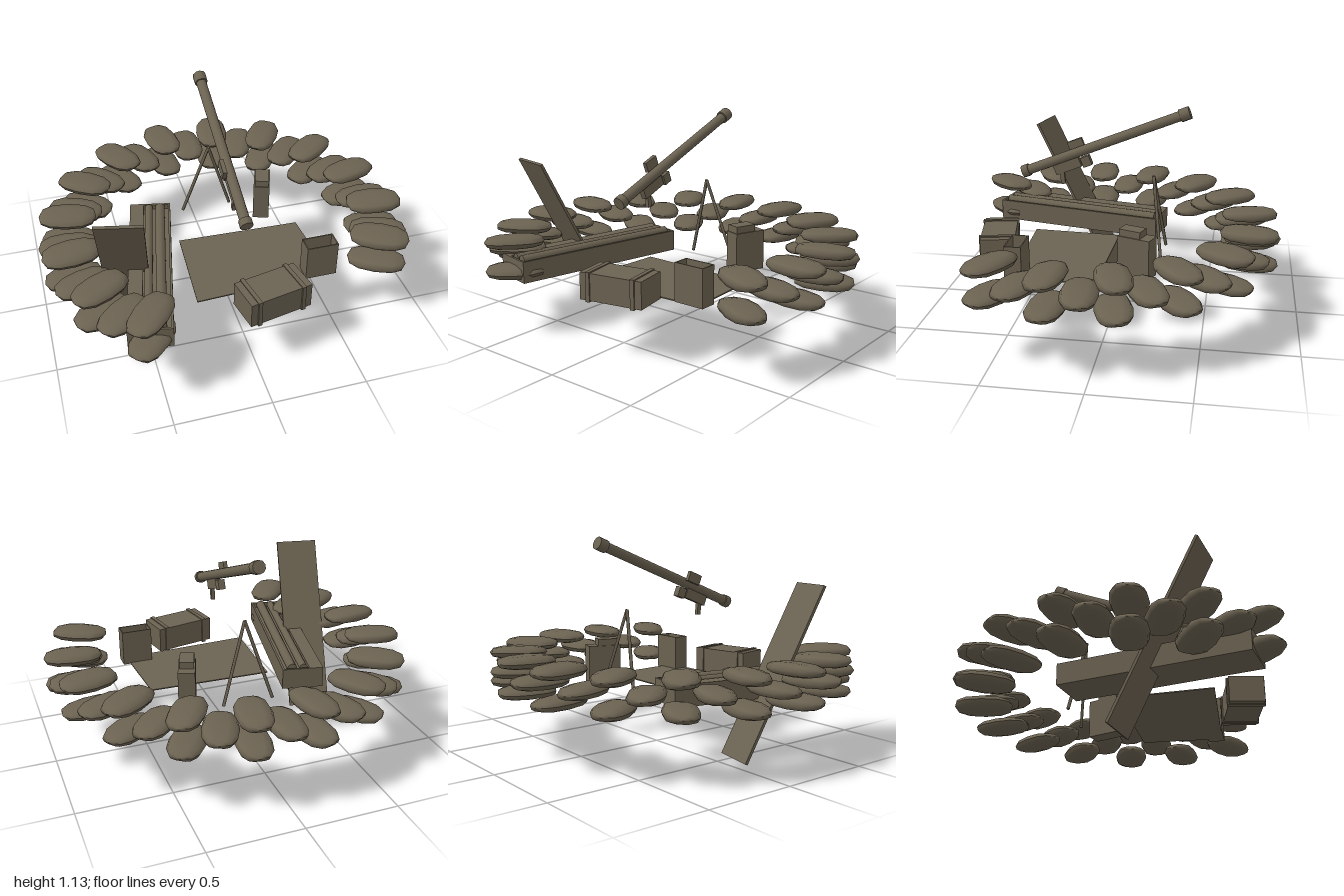
import * as THREE from 'three';

const olive = new THREE.MeshStandardMaterial({ color: 0x6b6251 });
olive.name = 'drab olive';

function add(parent, name, geometry, x = 0, y = 0, z = 0) {
  const m = new THREE.Mesh(geometry, olive);
  m.name = name;
  m.position.set(x, y, z);
  parent.add(m);
  return m;
}

const box = (parent, name, w, h, d, x, y, z) =>
  add(parent, name, new THREE.BoxGeometry(w, h, d), x, y, z);

function rod(parent, name, a, b, r, sides = 8) {
  const dir = b.clone().sub(a);
  const m = add(parent, name, new THREE.CylinderGeometry(r, r, dir.length(), sides));
  m.position.copy(a).add(b).multiplyScalar(0.5);
  m.quaternion.setFromUnitVectors(new THREE.Vector3(0, 1, 0), dir.normalize());
  return m;
}

function group(parent, name, x, y, z, yaw = 0) {
  const g = new THREE.Group();
  g.name = name;
  g.position.set(x, y, z);
  g.rotation.y = yaw;
  parent.add(g);
  return g;
}

// Flattened pillow, long in z, with squared-off plan
function bagGeometry() {
  const g = new THREE.SphereGeometry(1, 10, 6);
  g.rotateX(Math.PI / 2);
  const p = g.attributes.position;
  const soft = (v, e) => Math.sign(v) * Math.pow(Math.abs(v), e);
  for (let i = 0; i < p.count; i++) {
    p.setXYZ(i, soft(p.getX(i), 0.72) * 0.093, soft(p.getY(i), 0.72) * 0.036,
      soft(p.getZ(i), 0.85) * 0.155);
  }
  g.computeVertexNormals();
  return g;
}

export function createModel() {
  const model = new THREE.Group();
  model.name = 'mortarPit';

  // Sandbag ring, alternating outer layers and middle layer
  const bags = group(model, 'sandbagWall', 0, 0, 0.1);
  const bag = bagGeometry();
  const step = THREE.MathUtils.degToRad(10.8);
  for (let i = -13; i <= 11; i++) {
    const a = i * step;
    for (const y of i % 2 ? [0.346, 0.502] : [0.425]) {
      const m = add(bags, 'sandbag', bag, Math.sin(a) * 0.84, y, -Math.cos(a) * 0.835);
      m.rotation.y = -a;
      m.rotation.z = 0.06 * Math.sin(i * 2.3 + y * 20);
    }
  }

  // Launch tube with end rings and sighting parts, local z along the bore
  const tube = group(model, 'launchTube', 0, 0.92, 0.065);
  tube.rotation.x = 0.38;
  const v = (x, y, z) => new THREE.Vector3(x, y, z);
  rod(tube, 'barrel', v(0, 0, 0.47), v(0, 0, -0.47), 0.027, 14);
  rod(tube, 'muzzleRing', v(0, 0, -0.43), v(0, 0, -0.485), 0.035, 10);
  rod(tube, 'breechRing', v(0, 0, 0.45), v(0, 0, 0.488), 0.034, 10);
  box(tube, 'sight', 0.022, 0.055, 0.085, -0.04, 0.036, 0.162);
  box(tube, 'triggerHousing', 0.03, 0.055, 0.15, 0, -0.05, 0.24);
  box(tube, 'foreGrip', 0.038, 0.055, 0.05, 0, -0.06, 0.132);
  const grip = box(tube, 'pistolGrip', 0.02, 0.075, 0.024, 0, -0.1, 0.29);
  grip.rotation.x = -0.28;

  // Bipod
  const bipod = group(model, 'bipod', 0, 0, 0);
  for (const s of [-1, 1]) {
    rod(bipod, 'bipodLeg', v(0, 0.745, -0.2), v(s * 0.14, 0.3, -0.26), 0.009, 6);
  }

  // Ground sheet
  const sheet = new THREE.Shape([
    new THREE.Vector2(-0.23, -0.02), new THREE.Vector2(-0.255, -0.52),
    new THREE.Vector2(0.475, -0.49), new THREE.Vector2(0.45, -0.04)]);
  const sheetGeo = new THREE.ExtrudeGeometry(sheet, { depth: 0.006, bevelEnabled: false });
  sheetGeo.rotateX(-Math.PI / 2);
  add(model, 'groundSheet', sheetGeo, 0, 0.3, 0);

  // Long open crate with packed tubes
  const crate = group(model, 'longCrate', -0.4425, 0.3, 0.27, -0.208);
  box(crate, 'crateBody', 0.225, 0.085, 0.99, 0, 0.0425, 0);
  box(crate, 'packing', 0.075, 0.03, 0.99, -0.075, 0.1, 0);
  box(crate, 'sideWall', 0.012, 0.03, 0.99, 0.1065, 0.1, 0);
  for (const s of [-1, 1]) box(crate, 'endWall', 0.225, 0.03, 0.012, 0, 0.1, s * 0.489);
  rod(crate, 'packedTube', v(-0.008, 0.108, -0.47), v(-0.008, 0.108, 0.47), 0.022, 10);
  rod(crate, 'packedTube', v(0.055, 0.108, -0.47), v(0.055, 0.108, 0.47), 0.027, 10);

  // Crate lid leaning across the wall
  const across = v(0.23, 0, 0.05);
  const along = v(-0.09, 0.88, 0.45);
  const lid = box(model, 'crateLid', across.length(), along.length(), 0.015, 0, 0, 0);
  const normal = across.clone().cross(along).normalize();
  const up = along.clone().normalize();
  lid.quaternion.setFromRotationMatrix(
    new THREE.Matrix4().makeBasis(up.clone().cross(normal), up, normal));
  lid.position.set(-0.58, 0.443, 0.31);

  // Strapped ammunition crate
  const small = group(model, 'smallCrate', 0.108, 0.3, 0.635, 0.2);
  box(small, 'smallCrateBody', 0.345, 0.14, 0.185, 0, 0.07, 0);
  for (const s of [-1, 1]) box(small, 'strap', 0.022, 0.152, 0.2, s * 0.125, 0.07, 0);

  // Ammunition can with raised lid
  const can = group(model, 'ammoCan', 0.303, 0.3, -0.15, -0.34);
  box(can, 'canBody', 0.09, 0.215, 0.18, 0, 0.1075, 0);
  box(can, 'canLid', 0.076, 0.04, 0.12, 0, 0.232, 0.025);

  // Tall open box at the sheet corner
  const bin = group(model, 'openBox', 0.425, 0.3, 0.455);
  box(bin, 'binFloor', 0.17, 0.01, 0.09, 0, 0.005, 0);
  for (const s of [-1, 1]) {
    box(bin, 'binLongWall', 0.17, 0.2, 0.006, 0, 0.1, s * 0.042);
    box(bin, 'binShortWall', 0.006, 0.2, 0.09, s * 0.082, 0.1, 0);
  }

  return model;
}
